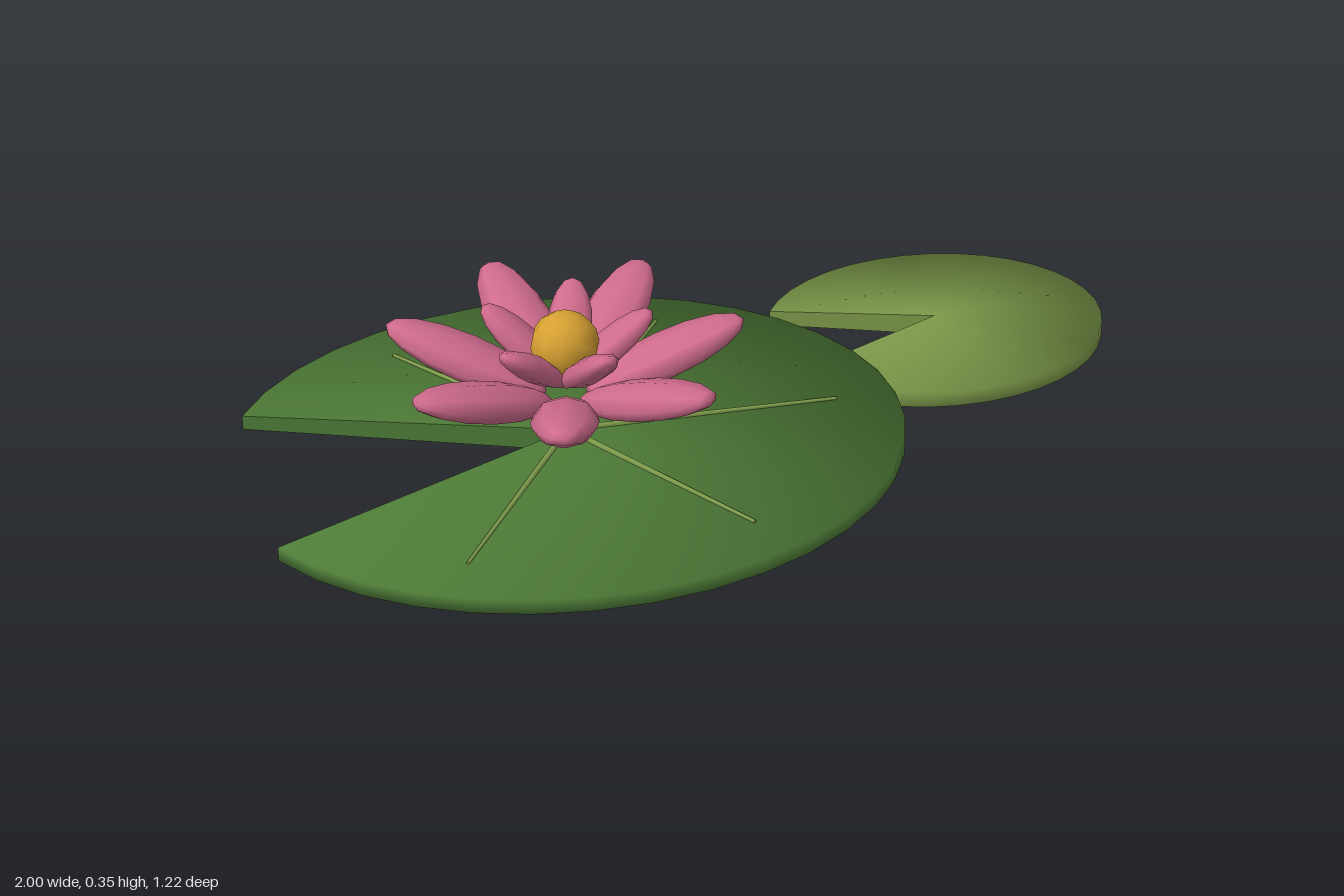
import * as THREE from 'three';

const paint = (color, side = THREE.FrontSide) => new THREE.MeshStandardMaterial({ color, side });
const CUT = 0.452; // half angle of the notch in each pad

function addMesh(parent, name, geometry, material) {
  const mesh = new THREE.Mesh(geometry, material);
  mesh.name = name;
  parent.add(mesh);
  return mesh;
}

// Low domed oval disc with a wedge-shaped notch towards -x
function createPad(name, rx, rz, rim, top, material) {
  const pad = new THREE.Group();
  pad.name = name;
  const profile = [[0, 0], [1, 0], [1, rim], [0, top]].map(([x, y]) => new THREE.Vector2(x, y));
  const start = -Math.PI / 2 + CUT;
  const sweep = 2 * Math.PI - 2 * CUT;
  const leaf = new THREE.LatheGeometry(profile, 32, start, sweep);

  // Soft rim: normals lean halfway between the side and the faces
  const { position, normal } = leaf.attributes;
  for (let i = 0; i < position.count; i++) {
    const ring = i % 4;
    const s = Math.SQRT1_2;
    if (ring === 0 || ring === 3) normal.setXYZ(i, 0, ring ? 1 : -1, 0);
    else normal.setXYZ(i, position.getX(i) * s, ring === 1 ? -s : s, position.getZ(i) * s);
  }
  addMesh(pad, 'leaf', leaf.scale(rx, 1, rz), material);

  // Walls closing the notch
  for (const phi of [start, start + sweep]) {
    const wall = new THREE.ShapeGeometry(new THREE.Shape(profile));
    wall.rotateY(phi - Math.PI / 2).scale(rx, 1, rz);
    addMesh(pad, 'notchWall', wall, material);
  }
  return pad;
}

// Ring of tilted petals with pointed ends
function createPetals(name, count, radius, y, tilt, [length, thickness, width], material) {
  const ring = new THREE.Group();
  ring.name = name;
  const geometry = new THREE.SphereGeometry(1, 8, 8).rotateZ(-Math.PI / 2).scale(length, thickness, width);
  for (let i = 0; i < count; i++) {
    const arm = new THREE.Group();
    arm.rotation.y = (i / count) * Math.PI * 2;
    const petal = addMesh(arm, 'petal', geometry, material);
    petal.position.set(radius, y, 0);
    petal.rotation.z = tilt;
    ring.add(arm);
  }
  return ring;
}

export function createModel() {
  const model = new THREE.Group();
  model.name = 'waterLily';
  const green = paint(0x4f7d38, THREE.DoubleSide);
  const lightGreen = paint(0x7f9c4b, THREE.DoubleSide);
  const pink = paint(0xcf6b8c);
  const yellow = paint(0xd6a032);

  // Pads
  const largePad = createPad('largePad', 0.747, 0.612, 0.034, 0.054, green);
  largePad.position.set(-0.327, 0.011, 0);
  const smallPad = createPad('smallPad', 0.395, 0.317, 0.036, 0.05, lightGreen);
  smallPad.position.set(0.605, 0, -0.295);
  model.add(largePad, smallPad);

  // Veins fanning out over the large pad
  const up = new THREE.Vector3(0, 1, 0);
  const hub = new THREE.Vector3(0, 0.054, 0);
  for (let i = -2; i <= 2; i++) {
    const a = (i * Math.PI) / 3;
    const tip = new THREE.Vector3(0.61 * Math.cos(a), 0.04, 0.5 * Math.sin(a));
    const along = tip.clone().sub(hub);
    const vein = addMesh(largePad, 'vein', new THREE.CylinderGeometry(0.004, 0.008, along.length(), 6), lightGreen);
    vein.position.copy(hub).add(tip).multiplyScalar(0.5);
    vein.quaternion.setFromUnitVectors(up, along.normalize());
  }

  // Flower
  const flower = new THREE.Group();
  flower.name = 'flower';
  flower.position.x = -0.327;
  flower.add(
    createPetals('outerPetals', 7, 0.22, 0.221, 0.35, [0.188, 0.04, 0.073], pink),
    createPetals('innerPetals', 5, 0.098, 0.262, 0.66, [0.12, 0.03, 0.05], pink),
  );
  const heart = addMesh(flower, 'flowerCentre', new THREE.SphereGeometry(0.075, 10, 8), yellow);
  heart.position.y = 0.28;
  model.add(flower);

  return model;
}
